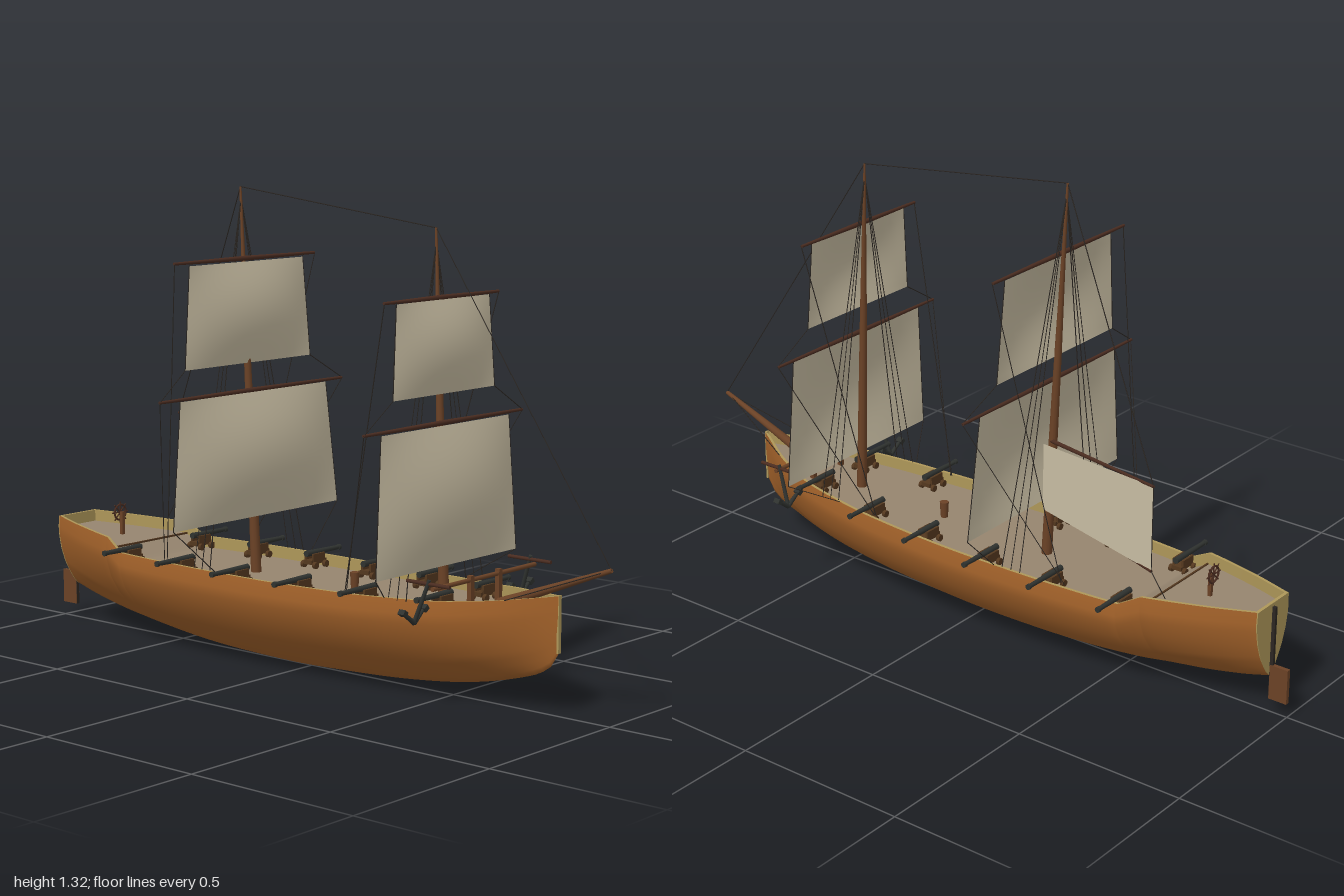
import * as THREE from 'three';

const mat = (name, color) => new THREE.MeshStandardMaterial({ name, color, side: THREE.DoubleSide });
const V = (x, y, z) => new THREE.Vector3(x, y, z);

// smooth (Hermite) or straight interpolation in a table of [z, value] with z falling
function lookup(table, z, smooth = true) {
  let i = 0;
  while (i < table.length - 2 && z < table[i + 1][0]) i++;
  const [z0, a] = table[i], [z1, b] = table[i + 1];
  const t = THREE.MathUtils.clamp((z - z0) / (z1 - z0), 0, 1);
  if (!smooth) return a + (b - a) * t;
  const slope = k => {
    const p = table[Math.max(k - 1, 0)], q = table[Math.min(k + 1, table.length - 1)];
    return (q[1] - p[1]) / (q[0] - p[0]) * (z1 - z0);
  };
  const t2 = t * t, t3 = t2 * t;
  return (2 * t3 - 3 * t2 + 1) * a + (t3 - 2 * t2 + t) * slope(i) + (3 * t2 - 2 * t3) * b + (t3 - t2) * slope(i + 1);
}

// hull lines
const WIDTH = [[0.84, 0.006], [0.8, 0.03], [0.715, 0.08], [0.58, 0.138], [0.4, 0.176], [0.2, 0.198], [0, 0.208],
  [-0.2, 0.208], [-0.4, 0.2], [-0.6, 0.18], [-0.8, 0.127], [-0.94, 0.076]];
const KEEL = [[0.84, 0.165], [0.82, 0.13], [0.76, 0.095], [0.57, 0.046], [0.35, 0.018], [0.1, 0.004], [-0.1, 0],
  [-0.4, 0.012], [-0.7, 0.05], [-0.85, 0.08], [-0.94, 0.105]];
const SHEER = [[0.84, 0.315], [0.7, 0.296], [0.55, 0.282], [0.3, 0.273], [0, 0.27], [-0.575, 0.27], [-0.64, 0.306], [-0.94, 0.32]];
const RIB = [[0, 0], [0.2, 0.07], [0.39, 0.17], [0.56, 0.27], [0.69, 0.36], [0.88, 0.55], [0.98, 0.74], [1, 0.85], [0.97, 1]];
const width = z => lookup(WIDTH, z), sheer = z => lookup(SHEER, z, false), keel = z => lookup(KEEL, z);
const deckY = z => sheer(z) - 0.033;

// skin over rows of points
function loft(rows) {
  const n = rows[0].length, pos = [], idx = [];
  rows.forEach(r => r.forEach(p => pos.push(p.x, p.y, p.z)));
  for (let i = 0; i < rows.length - 1; i++)
    for (let j = 0; j < n - 1; j++) {
      const a = i * n + j, b = a + n;
      idx.push(a, b, a + 1, a + 1, b, b + 1);
    }
  const g = new THREE.BufferGeometry();
  g.setAttribute('position', new THREE.Float32BufferAttribute(pos, 3));
  g.setIndex(idx);
  g.computeVertexNormals();
  return g;
}

function rib(z) {
  const w = width(z), k = keel(z), h = sheer(z) - k;
  const half = RIB.map(([a, b]) => V(a * w, k + b * h, z));
  return [...half.slice(1).reverse().map(p => V(-p.x, p.y, z)), ...half];
}

export function createModel() {
  const root = new THREE.Group();
  root.name = 'sailingShip';
  const M = {
    hull: mat('hullBrown', 0xa3622a), trim: mat('trimTan', 0xae9759), deck: mat('deckBoards', 0x96856f),
    spar: mat('sparWood', 0x6b4226), yard: mat('yardWood', 0x4a2c20), sail: mat('sailCloth', 0xcabfa4),
    rope: mat('rope', 0x2b2622), iron: mat('iron', 0x2f322f), carriage: mat('carriageWood', 0x54381f)
  };
  const add = (name, geo, m, parent = root) => {
    const mesh = new THREE.Mesh(geo, m);
    mesh.name = name;
    parent.add(mesh);
    return mesh;
  };
  const box = (name, m, w, h, d, x, y, z, parent) => {
    const b = add(name, new THREE.BoxGeometry(w, h, d), m, parent);
    b.position.set(x, y, z);
    return b;
  };
  // round bar from a to b
  const bar = (name, m, a, b, r1, r2 = r1, parent = root, sides = 10) => {
    const d = b.clone().sub(a);
    const c = add(name, new THREE.CylinderGeometry(r2, r1, d.length(), sides), m, parent);
    c.position.copy(a).addScaledVector(d, 0.5);
    c.quaternion.setFromUnitVectors(V(0, 1, 0), d.normalize());
    return c;
  };
  const rope = (a, b) => bar('rope', M.rope, a, b, 0.0014, 0.0014, root, 4);
  const ropes = (a, b) => [1, -1].forEach(s => rope(V(a[0] * s, a[1], a[2]), V(b[0] * s, b[1], b[2])));

  // hull, bulwarks and deck
  const zs = [-0.575, -0.64];
  for (let i = 0; i <= 72; i++) zs.push(0.84 - 1.78 * i / 72);
  zs.sort((a, b) => b - a);
  add('hull', loft(zs.map(rib)), M.hull);
  const inner = z => Math.max(width(z) * 0.97 - 0.009, 0.001);
  for (const s of [1, -1]) {
    add('railCap', loft(zs.map(z => [V(s * width(z) * 0.97, sheer(z), z), V(s * inner(z), sheer(z), z)])), M.trim);
    add('bulwark', loft(zs.map(z => [V(s * inner(z), sheer(z), z), V(s * inner(z), deckY(z) - 0.005, z)])), M.trim);
  }
  add('deck', loft(zs.map(z => [V(-inner(z), deckY(z), z), V(inner(z), deckY(z), z)])), M.deck);
  box('deckBreak', M.carriage, 0.33, 0.005, 0.005, 0, deckY(-0.64), -0.636);

  // transom, stem and rudder
  const outline = new THREE.Shape(rib(-0.94).map(p => new THREE.Vector2(p.x, p.y)));
  add('transom', new THREE.ExtrudeGeometry(outline, { depth: 0.009, bevelEnabled: false }), M.trim).position.z = -0.943;
  box('stem', M.trim, 0.012, 0.152, 0.006, 0, 0.241, 0.839);
  box('rudderPost', M.rope, 0.009, 0.27, 0.01, 0, 0.175, -0.948);
  box('rudder', M.spar, 0.012, 0.1, 0.055, 0, 0.09, -0.972);

  // masts and bowsprit
  const mast = (name, foot, top) => {
    const mid = foot.clone().lerp(top, 0.55);
    bar(name, M.spar, foot, mid, 0.015, 0.01);
    bar(name + 'Top', M.spar, mid, top, 0.01, 0.003);
  };
  const foreTop = V(0, 1.235, 0.43), mainTop = V(0, 1.32, -0.265), tip = V(0, 0.402, 0.998);
  mast('foreMast', V(0, 0.235, 0.465), foreTop);
  mast('mainMast', V(0, 0.235, -0.21), mainTop);
  bar('bowsprit', M.spar, V(0, 0.268, 0.65), tip, 0.016, 0.006);

  // square sails: yard half width, yard height, sail half widths, heights and depths at head and foot
  const squareSail = (name, yardW, yardY, w0, w1, y0, y1, z0, z1, belly) => {
    const rows = [];
    for (let i = 0; i <= 14; i++) {
      const t = i / 14, w = w0 + (w1 - w0) * t, row = [];
      for (let j = 0; j <= 14; j++) {
        const u = j / 7 - 1;
        row.push(V(u * w, y0 + (y1 - y0) * t, z0 + (z1 - z0) * t + belly * Math.sin(Math.PI * t) * (1 - u * u)));
      }
      rows.push(row);
    }
    add(name, loft(rows), M.sail);
    bar(name + 'Yard', M.yard, V(0, yardY, z0 - 0.004), V(yardW, yardY, z0 - 0.004), 0.007, 0.004);
    bar(name + 'Yard', M.yard, V(0, yardY, z0 - 0.004), V(-yardW, yardY, z0 - 0.004), 0.007, 0.004);
    ropes([w0, y0, z0], [w1, y1, z1]);
    ropes([w0, y0, z0], [w0, yardY, z0]);
  };
  squareSail('foreCourse', 0.335, 0.727, 0.27, 0.298, 0.72, 0.348, 0.47, 0.478, 0.028);
  squareSail('foreTopsail', 0.24, 1.055, 0.195, 0.214, 1.05, 0.803, 0.457, 0.463, 0.02);
  squareSail('mainCourse', 0.376, 0.755, 0.3, 0.34, 0.75, 0.398, -0.212, -0.202, 0.03);
  squareSail('mainTopsail', 0.287, 1.122, 0.232, 0.257, 1.113, 0.83, -0.24, -0.234, 0.024);

  // fore-and-aft sail with gaff and boom
  const throat = V(0.04, 0.585, -0.225), peak = V(0.164, 0.632, -0.67);
  const tack = V(0.04, 0.39, -0.225), clew = V(0.164, 0.39, -0.67);
  add('spanker', loft([[throat, peak], [tack, clew]]), M.sail);
  bar('gaff', M.yard, V(0.005, 0.582, -0.225), peak, 0.006, 0.004);
  bar('boom', M.yard, V(0.005, 0.39, -0.22), clew, 0.006, 0.004);
  rope(peak, clew);
  rope(clew, V(0.14, 0.31, -0.7));

  // stays, shrouds, braces and sheets
  rope(tip, foreTop);
  rope(foreTop, mainTop);
  rope(mainTop, peak);
  ropes([0, 0.4, 0.99], [0.075, 0.298, 0.72]);
  for (const dz of [-0.03, 0, 0.03]) {
    ropes([0, 1.2, 0.431], [0.165, 0.273, 0.44 + dz]);
    ropes([0, 1.29, -0.263], [0.195, 0.27, -0.235 + dz]);
  }
  ropes([0.24, 1.055, 0.455], [0.17, 0.272, 0.265]);
  ropes([0.335, 0.727, 0.468], [0.17, 0.272, 0.27]);
  ropes([0.287, 1.122, -0.242], [0.175, 0.27, -0.39]);
  ropes([0.376, 0.755, -0.214], [0.175, 0.27, -0.4]);
  ropes([0.214, 0.803, 0.463], [0.335, 0.727, 0.468]);
  ropes([0.257, 0.83, -0.234], [0.376, 0.755, -0.214]);
  ropes([0.298, 0.348, 0.478], [0.17, 0.276, 0.4]);
  ropes([0.34, 0.398, -0.202], [0.2, 0.27, -0.18]);

  // cannons, muzzles outward
  const guns = [[-0.565, 0.145], [-0.345, 0.155], [-0.13, 0.16], [0.09, 0.15], [0.305, 0.13], [0.53, 0.09]];
  for (const [z, x] of guns)
    for (const s of [1, -1]) {
      const g = new THREE.Group();
      g.name = 'cannon';
      g.position.set(s * x, deckY(z), z);
      g.rotation.y = s > 0 ? 0 : Math.PI;
      root.add(g);
      bar('barrel', M.iron, V(-0.038, 0.043, 0), V(0.108, 0.043, 0), 0.009, 0.006, g);
      bar('muzzleRing', M.iron, V(0.1, 0.043, 0), V(0.109, 0.043, 0), 0.008, 0.008, g);
      box('carriageBed', M.carriage, 0.065, 0.012, 0.03, 0, 0.018, 0, g);
      for (const e of [1, -1]) {
        box('carriageCheek', M.carriage, 0.05, 0.022, 0.007, 0, 0.031, e * 0.014, g);
        for (const f of [1, -1])
          bar('wheel', M.carriage, V(f * 0.022, 0.01, e * 0.017), V(f * 0.022, 0.01, e * 0.027), 0.01, 0.01, g);
      }
    }

  // anchor beam, posts and anchors
  bar('anchorBeam', M.spar, V(-0.22, 0.333, 0.6), V(0.22, 0.333, 0.6), 0.006);
  for (const s of [1, -1]) {
    box('beamPost', M.spar, 0.014, 0.11, 0.014, s * 0.06, 0.29, 0.6);
    const a = new THREE.Group();
    a.name = 'anchor';
    root.add(a);
    const crown = V(s * 0.228, 0.24, 0.548);
    bar('stock', M.yard, V(s * 0.217, 0.345, 0.515), V(s * 0.217, 0.345, 0.655), 0.005, 0.005, a);
    bar('shank', M.iron, V(s * 0.217, 0.355, 0.588), crown, 0.005, 0.006, a);
    for (const e of [1, -1]) {
      const end = V(s * 0.228 + e * 0.043, 0.272, 0.546);
      bar('arm', M.iron, crown, end, 0.007, 0.005, a);
      box('fluke', M.iron, 0.016, 0.014, 0.02, end.x, end.y, end.z, a).rotation.z = e * 0.6;
    }
  }

  // capstan and steering wheel
  bar('capstan', M.spar, V(0, 0.235, 0.155), V(0, 0.285, 0.155), 0.01, 0.013);
  const helm = new THREE.Group();
  helm.name = 'steeringWheel';
  helm.position.set(0, 0.343, -0.757);
  root.add(helm);
  add('wheelRim', new THREE.TorusGeometry(0.023, 0.003, 6, 20), M.yard, helm);
  for (let i = 0; i < 4; i++) {
    const d = V(Math.cos(i * Math.PI / 4), Math.sin(i * Math.PI / 4), 0).multiplyScalar(0.032);
    bar('spoke', M.yard, d.clone().negate(), d, 0.002, 0.002, helm, 6);
  }
  box('wheelStand', M.spar, 0.01, 0.07, 0.01, 0, -0.033, 0.009, helm);
  return root;
}
